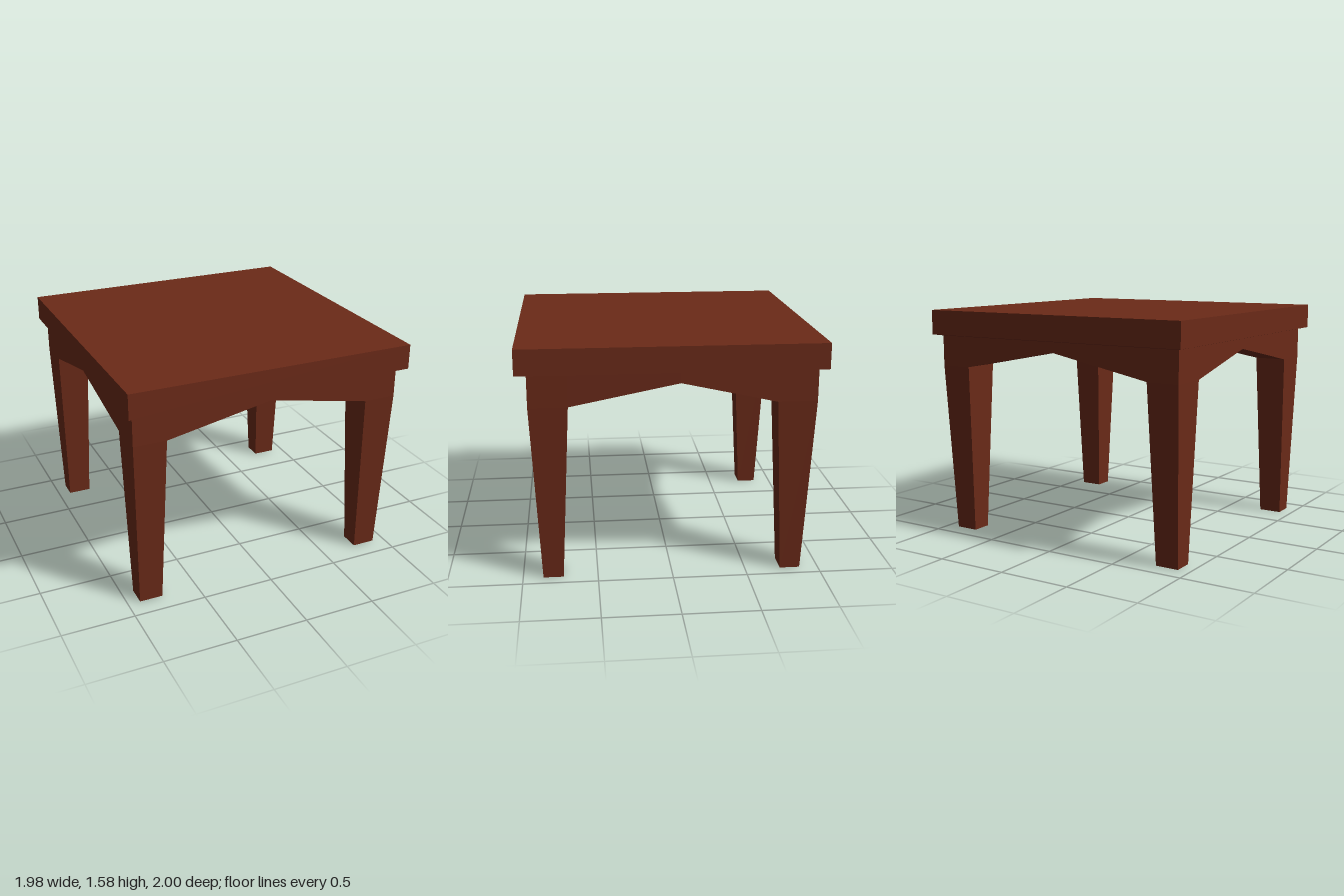
import * as THREE from 'three';

const material = new THREE.MeshStandardMaterial({
  color: 0x6b2a18, flatShading: true, side: THREE.DoubleSide,
});

// Heights
const SPRING = 1.19, PEAK = 1.33, CEILING = 1.40, EDGE = 1.41, TOP = 1.58;
// Outer and inner leg lines across x and z, from the negative to the positive side
const X = [-0.945, -0.72, 0, 0.72, 0.945];
const Z = [-0.94, -0.68, -0.05, 0.67, 0.925];

// Flat-faced mesh from a list of four-cornered faces
function quadMesh(name, quads) {
  const positions = quads.flatMap(([a, b, c, d]) => [a, b, c, a, c, d].flat());
  const geometry = new THREE.BufferGeometry();
  geometry.setAttribute('position', new THREE.Float32BufferAttribute(positions, 3));
  geometry.computeVertexNormals();
  const mesh = new THREE.Mesh(geometry, material);
  mesh.name = name;
  return mesh;
}

// Rectangular ring at height y, counter-clockwise seen from above
const ring = (x0, x1, z0, z1, y) => [[x0, y, z1], [x1, y, z1], [x1, y, z0], [x0, y, z0]];

// Side faces joining rings from bottom to top
function loft(rings) {
  const quads = [];
  for (let r = 0; r < rings.length - 1; r++) {
    const low = rings[r], high = rings[r + 1];
    for (let i = 0; i < 4; i++) {
      const j = (i + 1) % 4;
      quads.push([low[i], low[j], high[j], high[i]]);
    }
  }
  return quads;
}

// Apron with a peaked underside; u runs along it, outer and inner are its two faces
function apron(name, u, outer, inner, point) {
  const heights = [SPRING, SPRING, PEAK, SPRING, SPRING];
  const quads = [];
  for (let i = 0; i < 4; i++) {
    const j = i + 1;
    const at = (k, y, v) => point(u[k], y, v);
    quads.push([at(i, heights[i], outer), at(j, heights[j], outer), at(j, CEILING, outer), at(i, CEILING, outer)]);
    if (i === 1 || i === 2) {
      quads.push([at(j, heights[j], inner), at(i, heights[i], inner), at(i, CEILING, inner), at(j, CEILING, inner)]);
      quads.push([at(i, heights[i], inner), at(j, heights[j], inner), at(j, heights[j], outer), at(i, heights[i], outer)]);
    }
  }
  return quadMesh(name, quads);
}

export function createModel() {
  const table = new THREE.Group();
  table.name = 'table';

  // Table top with a shallow sloped lip underneath
  const slab = [
    ring(-0.945, 0.945, -0.94, 0.94, CEILING),
    ring(-0.99, 0.99, -1, 1, EDGE),
    ring(-0.99, 0.99, -1, 1, TOP),
  ];
  table.add(quadMesh('tableTop', [...loft(slab), slab[2], [...slab[0]].reverse()]));

  // Four aprons, walked round the table
  const alongX = (u, y, v) => [u, y, v];
  const alongZ = (u, y, v) => [v, y, u];
  const Xr = [...X].reverse(), Zr = [...Z].reverse();
  table.add(
    apron('frontApron', X, Z[4], Z[3], alongX),
    apron('leftApron', Zr, X[4], X[3], alongZ),
    apron('backApron', Xr, Z[0], Z[1], alongX),
    apron('rightApron', Z, X[0], X[1], alongZ),
  );

  // Tapered hollow legs, open at the foot
  const xSides = [
    { name: 'Right', top: [X[0], X[1]], foot: [-0.915, -0.755] },
    { name: 'Left', top: [X[3], X[4]], foot: [0.755, 0.915] },
  ];
  const zSides = [
    { name: 'back', top: [Z[0], Z[1]], foot: [-0.875, -0.74] },
    { name: 'front', top: [Z[3], Z[4]], foot: [0.73, 0.865] },
  ];
  for (const sx of xSides) {
    for (const sz of zSides) {
      table.add(quadMesh(`${sz.name}${sx.name}Leg`, loft([
        ring(...sx.foot, ...sz.foot, 0),
        ring(...sx.top, ...sz.top, SPRING),
      ])));
    }
  }
  return table;
}
